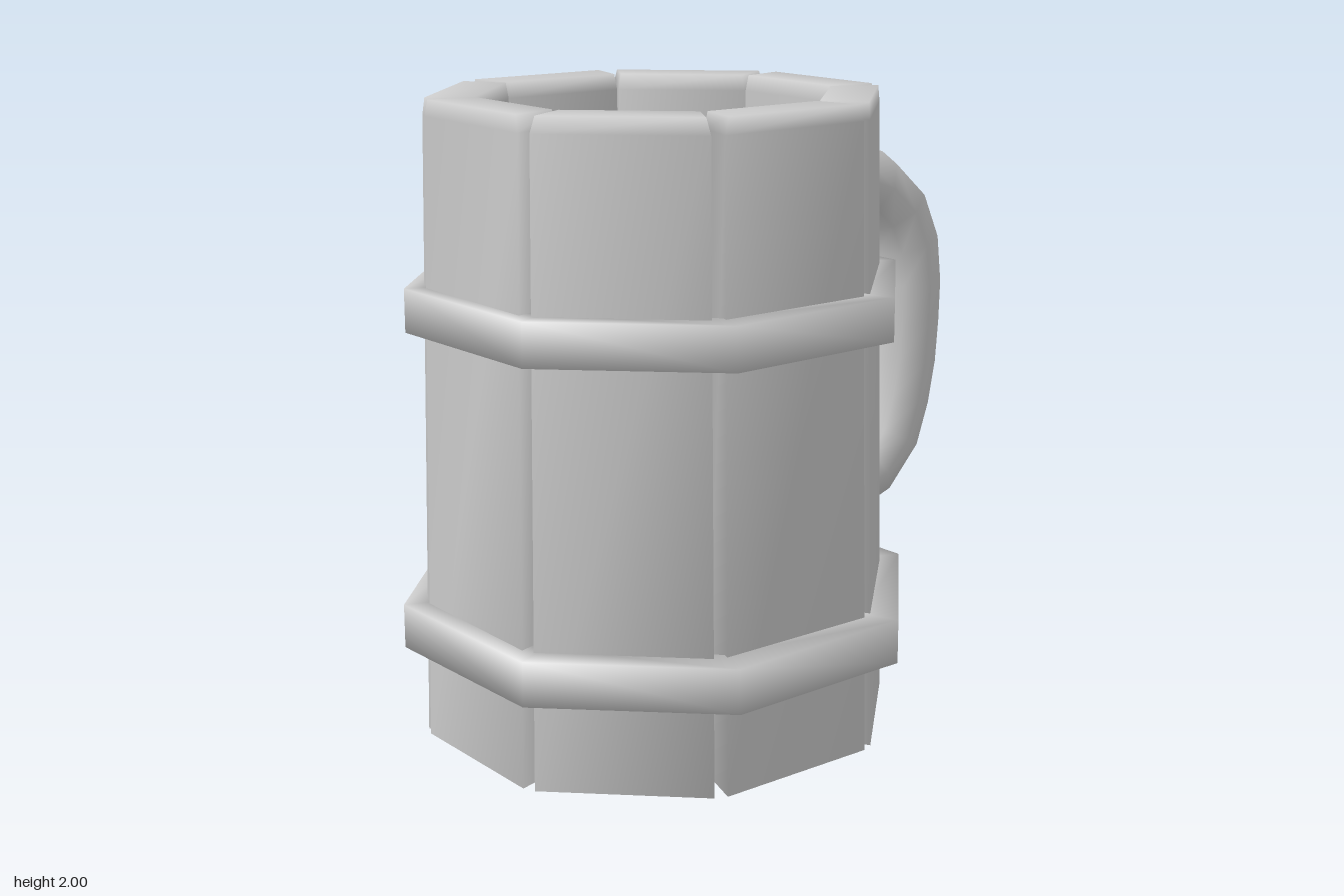
import * as THREE from 'three';

const SIDES = 8;
const STEP = (Math.PI * 2) / SIDES;
const AXIS_X = -0.19; // the barrel sits left of centre, the handle right

function material(options = {}) {
  return new THREE.MeshStandardMaterial({ color: 0xcccccc, ...options });
}

function addMesh(parent, name, geometry, mat = material()) {
  const mesh = new THREE.Mesh(geometry, mat);
  mesh.name = name;
  parent.add(mesh);
  return mesh;
}

// One tapered plank, soft-shaded, with a small chamfer at the top.
function staveGeometry(angle) {
  // height, outer radius, inner radius, outer half width, inner half width
  const rings = [
    [0, 0.7, 0.53, 0.268, 0.216],
    [1.95, 0.661, 0.505, 0.252, 0.206],
    [2, 0.657, 0.512, 0.238, 0.2],
  ];
  const cos = Math.cos(angle), sin = Math.sin(angle);
  const positions = [], index = [];
  for (const [y, ro, ri, wo, wi] of rings) {
    for (const [r, t] of [[ro, -wo], [ro, wo], [ri, wi], [ri, -wi]]) {
      positions.push(r * cos - t * sin, y, r * sin + t * cos);
    }
  }
  for (let ring = 0; ring < rings.length - 1; ring++) {
    for (let k = 0; k < 4; k++) {
      const a = ring * 4 + k, b = ring * 4 + ((k + 1) % 4);
      index.push(a, a + 4, b, b, a + 4, b + 4);
    }
  }
  index.push(0, 1, 2, 0, 2, 3, 8, 10, 9, 8, 11, 10);
  const geometry = new THREE.BufferGeometry();
  geometry.setAttribute('position', new THREE.Float32BufferAttribute(positions, 3));
  geometry.setIndex(index);
  geometry.computeVertexNormals();
  return geometry;
}

// Eight-sided band with a rectangular section.
function hoopGeometry(inner, outer, y0, y1) {
  const profile = [[inner, y0], [outer, y0], [outer, y1], [inner, y1], [inner, y0]]
    .map(([r, y]) => new THREE.Vector2(r, y));
  return new THREE.LatheGeometry(profile, SIDES, THREE.MathUtils.degToRad(70.1));
}

export function createModel() {
  const model = new THREE.Group();
  model.name = 'woodenTankard';

  // Barrel of staves, slightly wider from side to side
  const barrel = new THREE.Group();
  barrel.name = 'barrel';
  barrel.position.x = AXIS_X;
  barrel.scale.set(1.02, 1, 0.98);
  model.add(barrel);
  for (let i = 0; i < SIDES; i++) {
    addMesh(barrel, 'stave', staveGeometry(i * STEP - 0.02));
  }

  // Floor disc
  const floor = addMesh(barrel, 'floor',
    new THREE.CylinderGeometry(0.572, 0.575, 0.06, SIDES), material({ flatShading: true }));
  floor.position.y = 0.04;
  floor.rotation.y = STEP / 2 + 0.02;

  // Hoops
  const hoops = [
    ['lowerHoop', 0.71, 0.83, 0.295, 0.435],
    ['upperHoop', 0.69, 0.795, 1.3, 1.435],
  ];
  for (const [name, inner, outer, y0, y1] of hoops) {
    addMesh(model, name, hoopGeometry(inner, outer, y0, y1)).position.x = AXIS_X;
  }

  // Handle, its ends buried in the side stave
  const path = new THREE.CatmullRomCurve3([
    [0.42, 1.69], [0.6, 1.67], [0.75, 1.585], [0.835, 1.42], [0.845, 1.18],
    [0.815, 0.92], [0.735, 0.715], [0.62, 0.64], [0.42, 0.6],
  ].map(([x, y]) => new THREE.Vector3(x, y, 0)));
  const handle = addMesh(model, 'handle', new THREE.TubeGeometry(path, 12, 0.118, 8));
  handle.scale.z = 1.06;

  return model;
}
